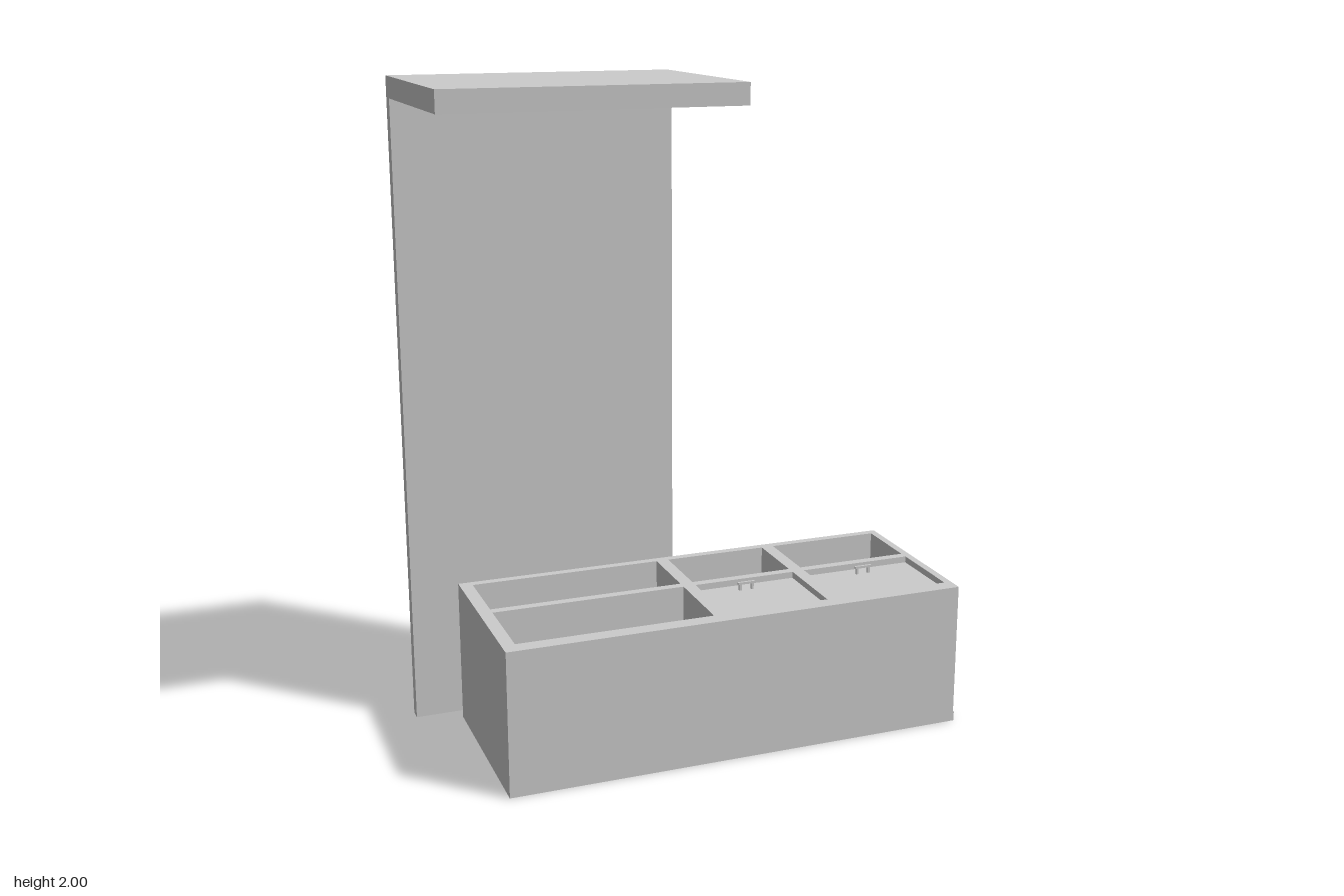
import * as THREE from 'three';

const grey = new THREE.MeshStandardMaterial({ color: 0xcccccc, flatShading: true });

export function createModel() {
  const model = new THREE.Group();

  // Box given by its limits on each axis
  function slab(name, [x0, x1], [y0, y1], [z0, z1], parent = model) {
    const mesh = new THREE.Mesh(new THREE.BoxGeometry(x1 - x0, y1 - y0, z1 - z0), grey);
    mesh.position.set((x0 + x1) / 2, (y0 + y1) / 2, (z0 + z1) / 2);
    mesh.name = name;
    parent.add(mesh);
    return mesh;
  }

  // Tall back panel and the canopy it carries
  slab('backPanel', [-0.795, 0.072], [0, 1.937], [-0.332, -0.292]);
  const canopy = slab('canopy', [-0.795, 0.072], [1.937, 2], [-0.332, 0.32]);
  // Front edge runs very slightly askew
  const p = canopy.geometry.attributes.position;
  for (let i = 0; i < p.count; i++) {
    if (p.getZ(i) > 0) p.setZ(i, p.getZ(i) + (p.getX(i) > 0 ? 0.004 : -0.006));
  }
  canopy.geometry.computeVertexNormals();

  // Counter: open-topped case
  const counter = new THREE.Group();
  counter.name = 'counter';
  model.add(counter);
  const top = 0.45, floor = 0.03;
  const wallY = [floor, top];
  slab('basePlate', [-0.657, 0.789], [0, floor], [-0.243, 0.331], counter);
  slab('frontWall', [-0.657, 0.786], wallY, [0.282, 0.331], counter);
  slab('backWall', [-0.657, 0.786], wallY, [-0.243, -0.217], counter);
  slab('rightWall', [-0.657, -0.617], wallY, [-0.217, 0.282], counter);
  slab('leftWall', [0.763, 0.786], wallY, [-0.217, 0.282], counter);

  // Inner dividers
  slab('longDivider', [-0.617, 0.763], wallY, [0, 0.028], counter);
  for (const x of [[-0.01, 0.03], [0.36, 0.4]]) {
    slab('rearDivider', x, wallY, [-0.217, 0], counter);
    slab('frontDivider', x, wallY, [0.028, 0.282], counter);
  }

  // Recessed lids with small bridge handles
  for (const [x0, x1, hx] of [[0.03, 0.36, 0.183], [0.4, 0.763, 0.587]]) {
    slab('lid', [x0, x1], [0.405, 0.43], [0.028, 0.282], counter);
    const handle = new THREE.Group();
    handle.name = 'lidHandle';
    counter.add(handle);
    slab('handleBar', [hx - 0.028, hx + 0.028], [0.449, 0.456], [0.066, 0.073], handle);
    for (const s of [-1, 1]) {
      const c = hx + s * 0.02;
      slab('handlePost', [c - 0.004, c + 0.004], [0.43, 0.449], [0.066, 0.073], handle);
    }
  }

  // Round spacers between counter and back panel
  const spacer = new THREE.CylinderGeometry(0.022, 0.022, 0.05, 24).rotateX(Math.PI / 2);
  const smooth = grey.clone();
  smooth.flatShading = false;
  for (const x of [-0.55, -0.04]) {
    for (const y of [0.123, 0.333]) {
      const mesh = new THREE.Mesh(spacer, smooth);
      mesh.position.set(x, y, -0.2675);
      mesh.name = 'spacer';
      model.add(mesh);
    }
  }
  return model;
}
